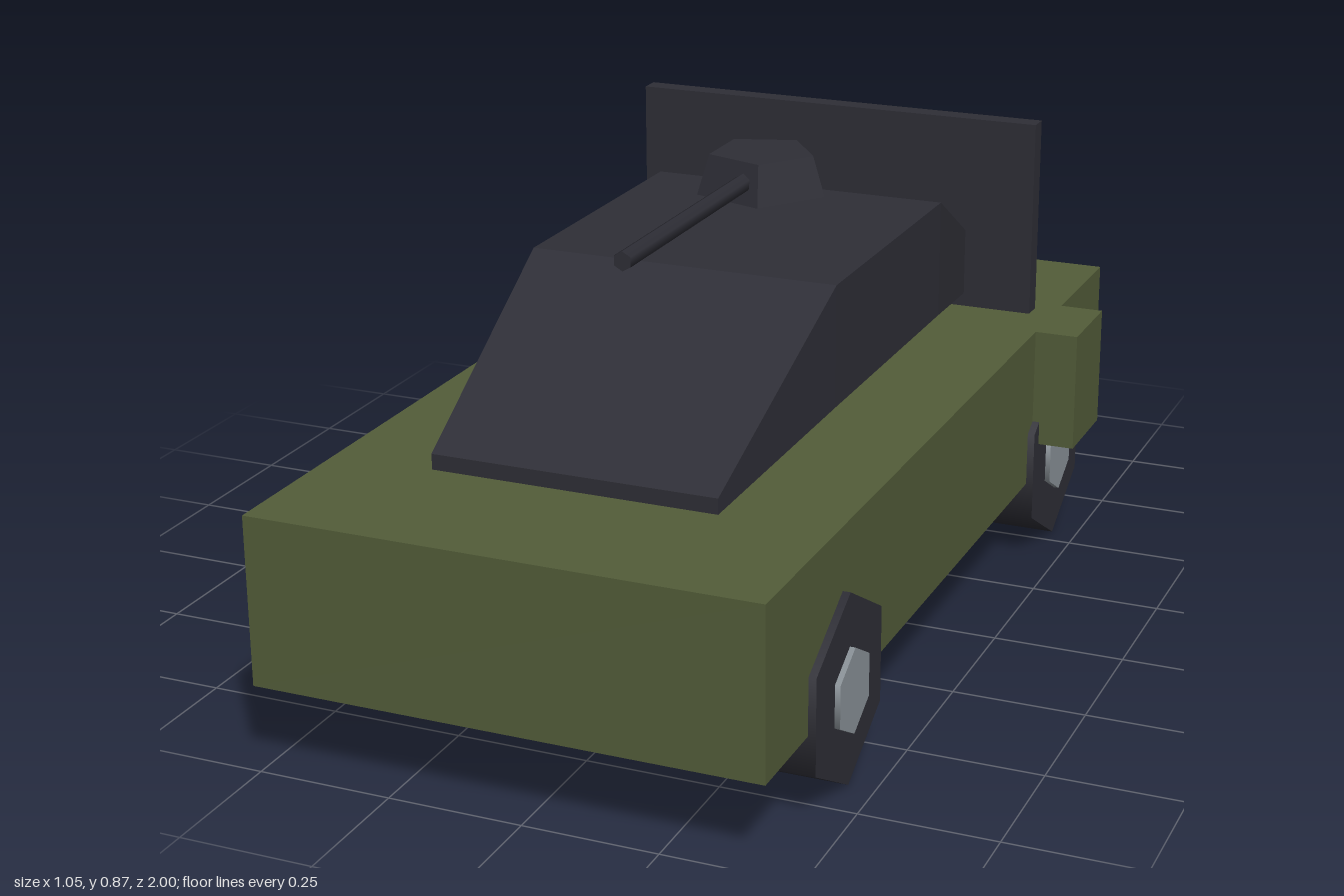
import * as THREE from 'three';

const CX = -0.034; // the vehicle's own centre line

const olive = new THREE.MeshStandardMaterial({ color: 0x535d39 });
olive.name = 'olive green';
const dark = new THREE.MeshStandardMaterial({ color: 0x2e2e36 });
dark.name = 'dark steel';
const grey = new THREE.MeshStandardMaterial({ color: 0x8c949a });
grey.name = 'hub grey';

function add(group, name, geometry, material, x = 0, y = 0, z = 0) {
  const mesh = new THREE.Mesh(geometry, material);
  mesh.name = name;
  mesh.position.set(x, y, z);
  group.add(mesh);
  return mesh;
}

// Box given by its minimum and maximum corners
function addBox(group, name, material, [x0, y0, z0], [x1, y1, z1]) {
  return add(group, name, new THREE.BoxGeometry(x1 - x0, y1 - y0, z1 - z0), material,
    (x0 + x1) / 2, (y0 + y1) / 2, (z0 + z1) / 2);
}

// Six-sided disc with its axle along x and a corner pointing up
function hexDisc(radius, width) {
  return new THREE.CylinderGeometry(radius, radius, width, 6).rotateY(Math.PI / 6).rotateZ(Math.PI / 2);
}

// Faceted cabin lofted through rectangular sections, front to back
function cabinGeometry() {
  const sections = [ // z, half width, bottom, top
    [0.715, 0.268, 0.485, 0.514],
    [0.25, 0.298, 0.52, 0.75],
    [-0.32, 0.298, 0.52, 0.75],
    [-0.735, 0.268, 0.485, 0.52],
  ];
  const rings = sections.map(([z, w, b, t]) =>
    [[-w, b, z], [w, b, z], [w, t, z], [-w, t, z]]);
  const points = [];
  const quad = (a, b, c, d) => points.push(...a, ...b, ...c, ...a, ...c, ...d);
  quad(...rings[0]);
  for (let i = 0; i < rings.length - 1; i++) {
    for (let k = 0; k < 4; k++) {
      const n = (k + 1) % 4;
      quad(rings[i][k], rings[i + 1][k], rings[i + 1][n], rings[i][n]);
    }
  }
  quad(...rings[rings.length - 1].slice().reverse());
  const geometry = new THREE.BufferGeometry();
  geometry.setAttribute('position', new THREE.Float32BufferAttribute(points, 3));
  geometry.computeVertexNormals();
  return geometry;
}

export function createModel() {
  const model = new THREE.Group();
  model.name = 'armouredCar';

  // Body and side storage box
  addBox(model, 'body', olive, [-0.504, 0.163, -0.888], [0.436, 0.476, 1]);
  addBox(model, 'sideBox', olive, [0.43, 0.24, -0.6], [0.521, 0.476, -0.42]);

  // Cabin and upright rear plate
  add(model, 'cabin', cabinGeometry(), dark, -0.033);
  addBox(model, 'rearPlate', dark, [-0.456, 0.45, -0.565], [0.39, 0.868, -0.525]);

  // Five-sided gun mount and barrel
  const turret = new THREE.Group();
  turret.name = 'turret';
  turret.position.set(CX, 0.83, -0.135);
  model.add(turret);
  add(turret, 'turretBase',
    new THREE.CylinderGeometry(0.104, 0.128, 0.078, 5).toNonIndexed().rotateY(Math.PI / 2), dark)
    .geometry.computeVertexNormals();
  add(turret, 'barrel',
    new THREE.CylinderGeometry(0.018, 0.018, 0.605, 6).rotateX(Math.PI / 2), dark, 0, 0, 0.3325);

  // Wheels with hubs showing on both faces
  for (const side of [-1, 1]) {
    for (const z of [0.66, -0.545]) {
      const wheel = new THREE.Group();
      wheel.name = (z > 0 ? 'front' : 'rear') + (side > 0 ? 'Left' : 'Right') + 'Wheel';
      wheel.position.set(-0.0325 + side * 0.42, 0.18, z);
      add(wheel, 'tyre', hexDisc(0.179, 0.125), dark);
      add(wheel, 'hub', hexDisc(0.08, 0.145), grey);
      model.add(wheel);
    }
  }

  // Spare wheel on the back
  add(model, 'spareWheel',
    new THREE.CylinderGeometry(0.167, 0.167, 0.102, 8).rotateX(Math.PI / 2), dark, CX, 0.372, -0.949);

  return model;
}
